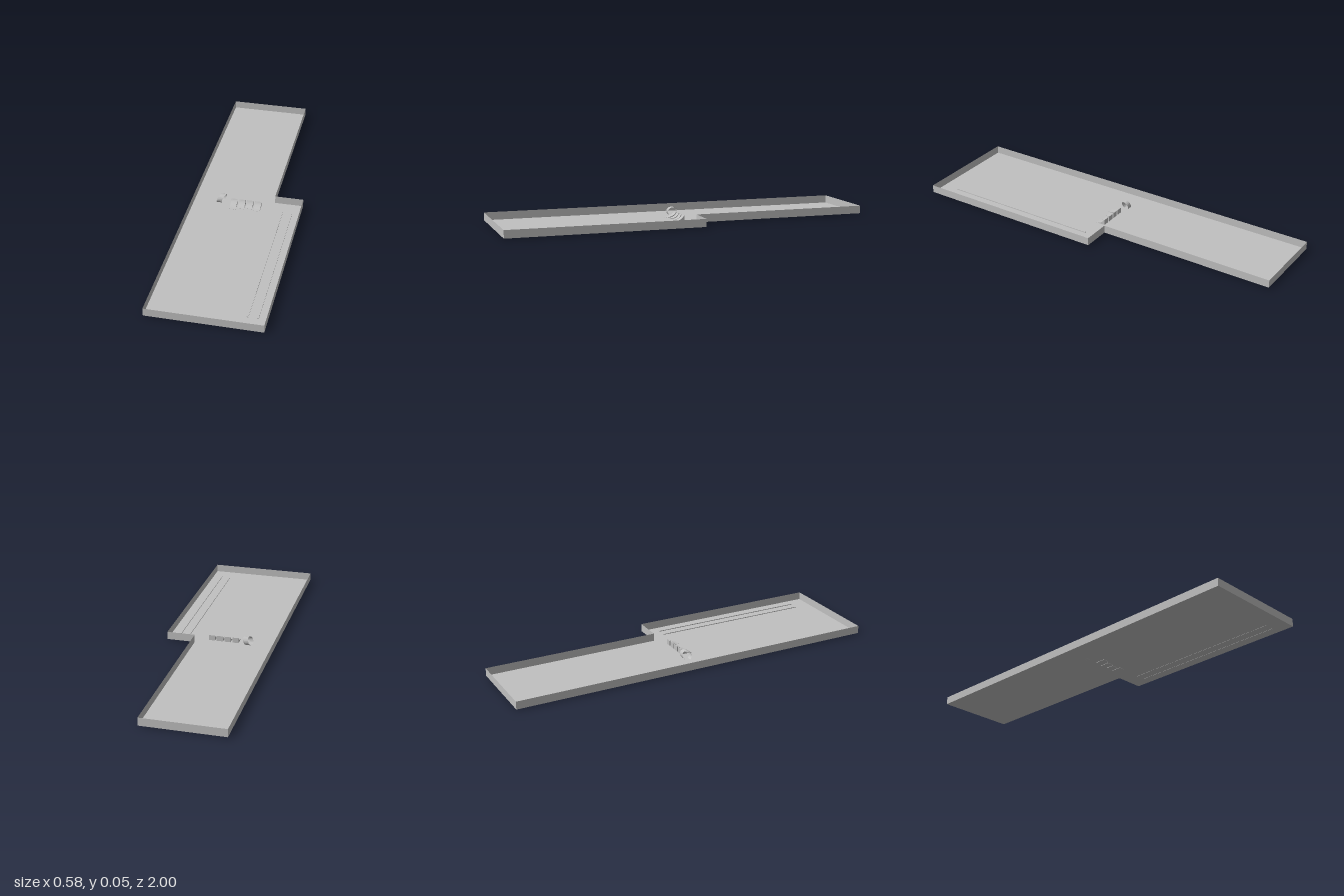
import * as THREE from 'three';

export function createModel() {
  const model = new THREE.Group();
  const grey = new THREE.MeshStandardMaterial({ color: 0xc0c0c0, side: THREE.DoubleSide, flatShading: true });
  grey.name = 'plain grey';

  function add(name, geometry, parent = model) {
    const mesh = new THREE.Mesh(geometry, grey);
    mesh.name = name;
    parent.add(mesh);
    return mesh;
  }

  const floorY = 0.003, wallTop = 0.045;

  // Stepped floor outline as (x, z) corners
  const outline = [
    [-0.292, 1], [0.29, 1], [0.29, -0.044],
    [0.138, -0.044], [0.138, -1], [-0.292, -1],
  ];
  const floorShape = new THREE.Shape(outline.map(([x, z]) => new THREE.Vector2(x, -z)));
  add('floor', new THREE.ShapeGeometry(floorShape).rotateX(-Math.PI / 2)).position.y = floorY;

  // One thin wall along each edge of the floor
  const walls = new THREE.Group();
  walls.name = 'walls';
  model.add(walls);
  outline.forEach(([x1, z1], i) => {
    const [x2, z2] = outline[(i + 1) % outline.length];
    const length = Math.hypot(x2 - x1, z2 - z1);
    const wall = add('wall', new THREE.PlaneGeometry(length, wallTop - floorY), walls);
    wall.position.set((x1 + x2) / 2, (wallTop + floorY) / 2, (z1 + z2) / 2);
    wall.rotation.y = Math.atan2(-(z2 - z1), x2 - x1);
  });

  // Two long low rails beside the wide part's wall
  for (const x of [0.191, 0.241]) {
    add('rail', new THREE.BoxGeometry(0.009, 0.005, 0.87)).position.set(x, 0.0045, 0.475);
  }

  // Row of small curved ramps, steep at the back and flat at the front
  const ramps = [[-0.075, 0.062], [-0.031, 0.05], [0.011, 0.042], [0.055, 0.054]];
  for (const [x, length] of ramps) {
    const width = 0.034;
    const profile = new THREE.Shape();
    profile.moveTo(0, 0.001);
    profile.lineTo(length, 0.001);
    profile.lineTo(length, 0.004);
    profile.quadraticCurveTo(0.016, 0.006, 0.004, 0.032);
    profile.lineTo(0, 0.032);
    const ramp = new THREE.ExtrudeGeometry(profile, { depth: width, bevelEnabled: false, curveSegments: 8 });
    ramp.translate(0, 0, -width / 2).rotateY(-Math.PI / 2);
    add('ramp', ramp).position.x = x;
  }

  // Open hoop lying on its side, leaning slightly
  const hoop = new THREE.CylinderGeometry(0.024, 0.024, 0.028, 20, 1, true).rotateZ(Math.PI / 2);
  const points = hoop.attributes.position;
  for (let i = 0; i < points.count; i++) {
    points.setX(i, points.getX(i) + points.getY(i) * 0.35 - points.getZ(i) * 0.3);
  }
  hoop.computeVertexNormals();
  add('hoop', hoop).position.set(-0.145, 0.024, 0);

  return model;
}
